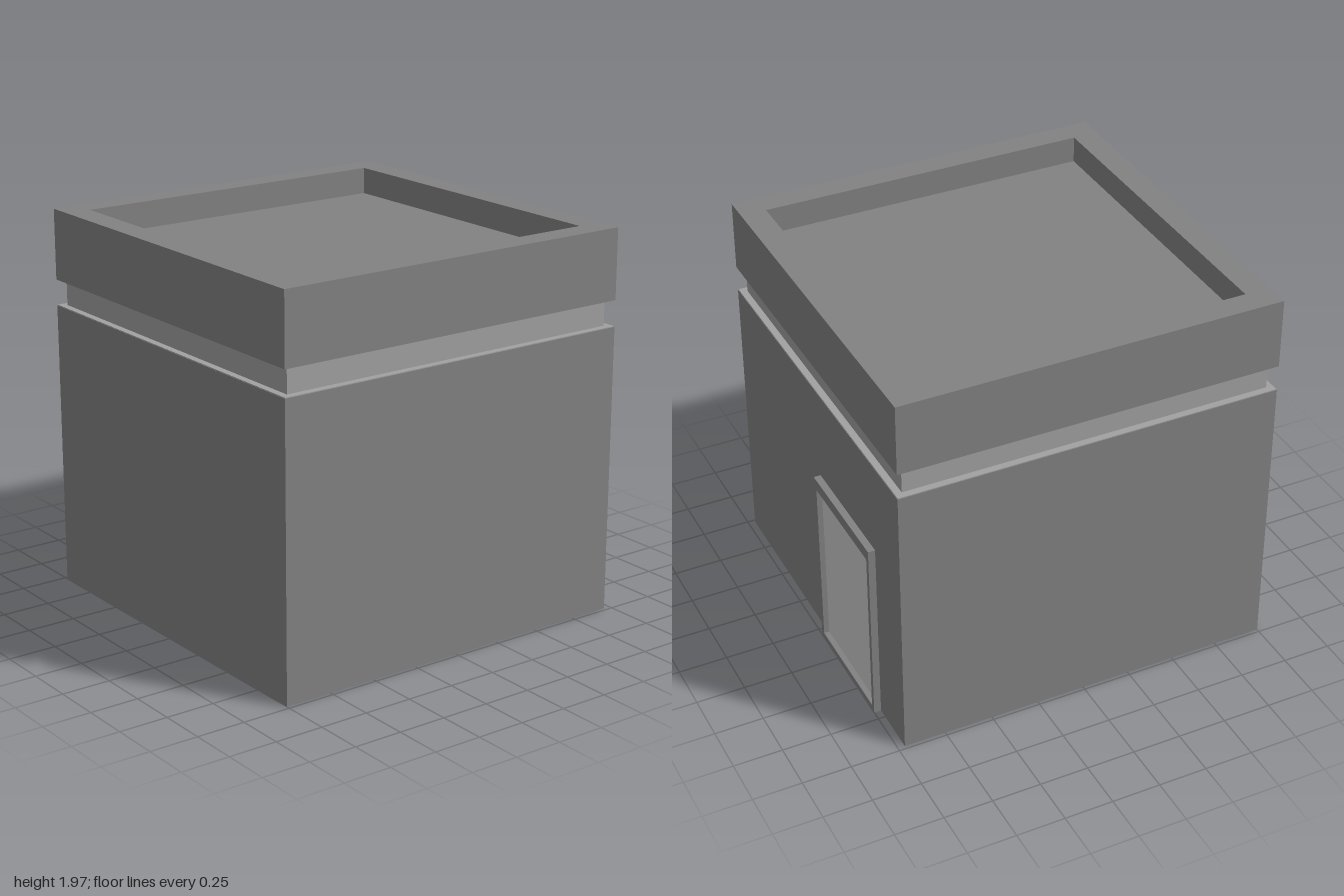
import * as THREE from 'three';

const WALL = new THREE.MeshStandardMaterial({ color: 0x828282, flatShading: true });
const BAND = new THREE.MeshStandardMaterial({ color: 0xa1a1a1, flatShading: true });
const DOOR = new THREE.MeshStandardMaterial({ color: 0xcccccc, flatShading: true });

const CX = -0.018; // the block sits slightly off centre, the door frame fills the rest
const HALF = 0.982;

function add(group, name, geometry, material) {
  const mesh = new THREE.Mesh(geometry, material);
  mesh.name = name;
  group.add(mesh);
  return mesh;
}

// Square slab of the given half width between two heights
function slab(group, name, half, y0, y1, material) {
  const mesh = add(group, name, new THREE.BoxGeometry(half * 2, y1 - y0, half * 2), material);
  mesh.position.set(CX, (y0 + y1) / 2, 0);
}

// Rectangular outline, usable as a shape or as a hole
function rect(Type, x0, y0, x1, y1) {
  return new Type([[x0, y0], [x1, y0], [x1, y1], [x0, y1]].map(p => new THREE.Vector2(...p)));
}

function frame(outer, inner, depth) {
  const shape = rect(THREE.Shape, ...outer);
  shape.holes.push(rect(THREE.Path, ...inner));
  return new THREE.ExtrudeGeometry(shape, { depth, bevelEnabled: false });
}

export function createModel() {
  const group = new THREE.Group();
  group.name = 'building';

  // Main block, pale ledge and recessed band
  slab(group, 'walls', HALF, 0, 1.472, WALL);
  slab(group, 'ledge', HALF - 0.002, 1.472, 1.476, BAND);
  slab(group, 'recessedBand', 0.945, 1.476, 1.606, BAND);

  // Upper block with a parapet around the sunken roof
  const roofY = 1.83, topY = 1.967, inner = 0.852;
  slab(group, 'upperBlock', HALF, 1.606, roofY, WALL);
  const parapet = add(group, 'parapet',
    frame([-HALF, -HALF, HALF, HALF], [-inner, -inner, inner, inner], topY - roofY), WALL);
  parapet.rotation.x = -Math.PI / 2;
  parapet.position.set(CX, roofY, 0);

  // Door on the +x side: raised frame around a set-back panel
  const wallX = CX + HALF;
  const doorFrame = add(group, 'doorFrame',
    frame([0.045, 0, 0.7, 0.99], [0.072, 0.03, 0.675, 0.93], 1 - wallX), WALL);
  doorFrame.rotation.y = Math.PI / 2; // shape x becomes -z
  doorFrame.position.x = wallX;

  const panel = add(group, 'doorPanel', new THREE.BoxGeometry(0.02, 0.9, 0.603), DOOR);
  panel.position.set(0.962, 0.48, -0.3735);

  return group;
}
